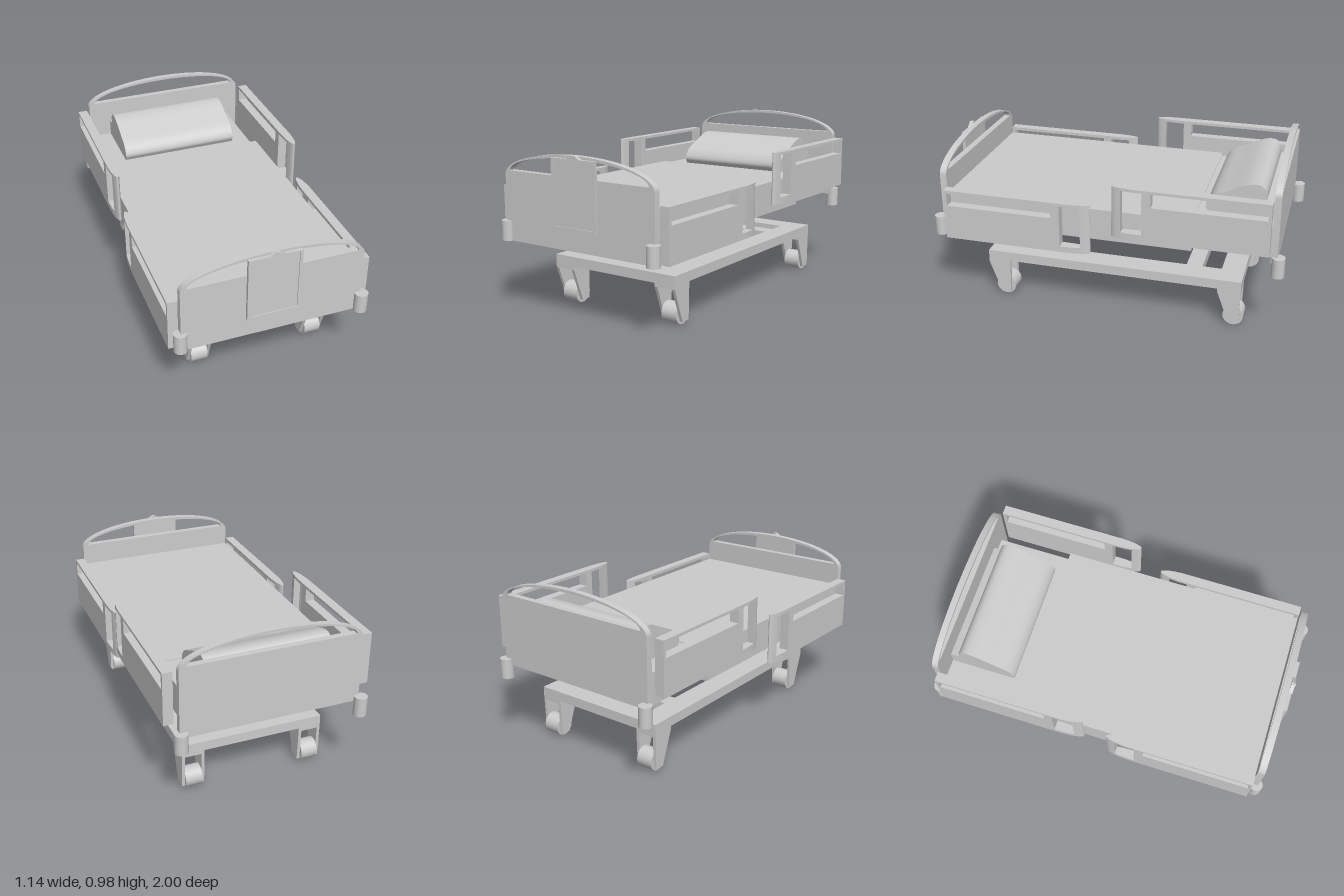
import * as THREE from 'three';
import { toCreasedNormals } from 'three/addons/utils/BufferGeometryUtils.js';

const material = new THREE.MeshStandardMaterial({ color: 0xcccccc });

export function createModel() {
  const model = new THREE.Group();

  const add = (name, geometry, parent = model) => {
    const mesh = new THREE.Mesh(geometry, material);
    mesh.name = name;
    parent.add(mesh);
    return mesh;
  };
  const group = (name) => {
    const g = new THREE.Group();
    g.name = name;
    model.add(g);
    return g;
  };
  // Box given by its limits on each axis
  const box = (name, x0, x1, y0, y1, z0, z1, parent) =>
    add(name, new THREE.BoxGeometry(x1 - x0, y1 - y0, z1 - z0)
      .translate((x0 + x1) / 2, (y0 + y1) / 2, (z0 + z1) / 2), parent);
  const toShape = (points) => new THREE.Shape(points.map(([a, b]) => new THREE.Vector2(a, b)));
  const extrude = (shape, depth) => toCreasedNormals(
    new THREE.ExtrudeGeometry(shape, { depth, bevelEnabled: false, curveSegments: 40 }), 0.5);
  // Side profile in (z, y), extruded across x
  const across = (name, points, x0, x1, parent) =>
    add(name, extrude(toShape(points), x1 - x0).rotateY(-Math.PI / 2).translate(x1, 0, 0), parent);

  // Mattress, head section and deck
  box('mattress', -0.515, 0.472, 0.52, 0.645, -0.485, 0.91);
  box('deck', -0.515, 0.472, 0.465, 0.52, -0.485, 0.91);
  box('headSection', -0.48, 0.435, 0.465, 0.64, -0.91, -0.485);

  // Pillow: rounded wedge, with a low flap against the headboard
  const pillowCurve = new THREE.CatmullRomCurve3([
    [-0.545, 0.64], [-0.53, 0.675], [-0.56, 0.728], [-0.65, 0.775],
    [-0.76, 0.822], [-0.82, 0.822], [-0.85, 0.79], [-0.855, 0.745],
  ].map(([z, y]) => new THREE.Vector3(z, y, 0)));
  const pillowProfile = pillowCurve.getPoints(36).map((p) => [p.x, p.y]);
  across('pillow', [...pillowProfile, [-0.905, 0.735], [-0.905, 0.64]], -0.37, 0.33);

  // End boards with an elliptical top and an arched hand opening
  const endBoard = (name, cx, half, bottom, spring, rise, hole, z0, z1) => {
    const shape = new THREE.Shape();
    shape.moveTo(cx - half, bottom);
    shape.lineTo(cx + half, bottom);
    shape.lineTo(cx + half, spring);
    shape.absellipse(cx, spring, half, rise, 0, Math.PI, false);
    shape.closePath();
    const opening = new THREE.Path();
    opening.moveTo(cx + hole.half, hole.y);
    opening.absellipse(cx, hole.y, hole.half, hole.rise, 0, Math.PI, false);
    opening.closePath();
    shape.holes.push(opening);
    add(name, extrude(shape, z1 - z0).translate(0, 0, z0));
  };
  endBoard('headboard', 0, 0.497, 0.465, 0.84, 0.135,
    { half: 0.458, y: 0.865, rise: 0.095 }, -0.945, -0.91);
  endBoard('footboard', -0.02, 0.495, 0.39, 0.75, 0.135,
    { half: 0.46, y: 0.773, rise: 0.095 }, 0.91, 0.948);

  // Corner bumpers
  for (const [x, z] of [[-0.5, -0.966], [0.49, -0.95], [-0.515, 0.94], [0.475, 0.962]]) {
    add('cornerBumper', new THREE.CylinderGeometry(0.036, 0.036, 0.11, 32).translate(x, 0.445, z));
  }

  // Side rails: plan outline runs straight, then tapers to a rounded tip
  const railHalf = 0.027, taper = 0.15;
  const rail = (name, cx, tip, end, openings, pieces) => {
    const parent = group(name);
    const dir = Math.sign(end - tip);
    const width = (d) => railHalf * (d >= taper ? 1 : Math.sqrt(Math.max(0, 1 - (1 - d / taper) ** 2)));
    // d0 and d1 are distances from the tip
    for (const [part, d0, d1, y0, y1] of pieces) {
      const ds = [d0];
      for (let i = 1; i < 16; i++) {
        const d = taper * (i / 16) ** 2;
        if (d > d0 && d < d1) ds.push(d);
      }
      if (taper > d0 && taper < d1) ds.push(taper);
      ds.push(d1);
      const side = (s) => ds.map((d) => [cx + s * Math.max(width(d), 0.0005), -(tip + dir * d)]);
      const outline = toShape([...side(1), ...side(-1).reverse()]);
      add(part, extrude(outline, y1 - y0).rotateX(-Math.PI / 2).translate(0, y0, 0), parent);
    }
  };
  const railPieces = (b, sill, panelTop, lintel, top) => [
    ['topBar', 0, 0.842, lintel, top],
    ['bottomBar', 0, 0.842, b, sill],
    ['tipPost', 0, 0.053, sill, lintel],
    ['middlePost', 0.168, 0.216, sill, lintel],
    ['panel', 0.216, 0.842, sill, panelTop],
    ['endPost', 0.825, 0.842, panelTop, lintel],
  ];
  for (const side of [-1, 1]) {
    const label = side < 0 ? 'right' : 'left';
    rail(label + 'HeadRail', side * 0.541, -0.065, -0.907, null,
      railPieces(0.535, 0.573, 0.737, 0.814, 0.83));
    rail(label + 'FootRail', -0.02 + side * 0.523, 0.068, 0.91, null,
      railPieces(0.39, 0.425, 0.59, 0.664, 0.682));
  }

  // Chart holder on the footboard: framed plate with a peaked clip
  const chart = group('chartHolder');
  const frame = toShape([[-0.17, 0.5], [0.12, 0.5], [0.12, 0.87], [-0.17, 0.87]]);
  frame.holes.push(new THREE.Path([[-0.152, 0.517], [-0.152, 0.862], [0.104, 0.862], [0.104, 0.517]]
    .map(([x, y]) => new THREE.Vector2(x, y))));
  add('chartFrame', extrude(frame, 0.018).translate(0, 0, 0.948), chart);
  box('chartPlate', -0.152, 0.104, 0.517, 0.862, 0.948, 0.961, chart);
  add('chartClip', extrude(toShape([[-0.067, 0.868], [0.03, 0.868], [-0.01, 0.892], [-0.027, 0.892]]), 0.02)
    .translate(0, 0, 0.95), chart);
  add('clipPin', new THREE.CylinderGeometry(0.007, 0.007, 0.008, 16)
    .rotateX(Math.PI / 2).translate(-0.018, 0.884, 0.971), chart);

  // Lifting column, spine and diagonal struts under the deck
  const sx0 = -0.055, sx1 = 0.015;
  box('column', sx0, sx1, 0.28, 0.465, 0.55, 0.6);
  box('spine', sx0, sx1, 0.425, 0.465, -0.29, 0.55);
  across('longStrut', [[-0.29, 0.425], [-0.27, 0.465], [-0.32, 0.465], [-0.515, 0.278], [-0.435, 0.278]], sx0, sx1);
  across('shortStrut', [[-0.545, 0.468], [-0.578, 0.455], [-0.495, 0.278], [-0.455, 0.278]], sx0, sx1);

  // Base frame
  const bx0 = -0.388, bx1 = 0.42, bw = 0.128;
  box('rightBaseBeam', bx0, bx0 + bw, 0.225, 0.28, -0.757, 0.71);
  box('leftBaseBeam', bx1 - bw, bx1, 0.225, 0.28, -0.757, 0.71);
  box('frontCrossBeam', bx0 + bw, bx1 - bw, 0.225, 0.28, 0.54, 0.71);
  box('rearCrossBeam', bx0 + bw, bx1 - bw, 0.225, 0.28, -0.757, -0.63);
  box('strutCrossBeam', bx0 + bw, bx1 - bw, 0.225, 0.28, -0.52, -0.43);

  // Casters: mounting block, two tapered fork plates and a wide wheel
  for (const x of [bx0, bx1 - bw]) {
    for (const z of [0.71, -0.628]) {
      const caster = group('caster');
      caster.position.set(x, 0, z);
      box('casterBlock', 0, bw, 0.205, 0.225, -0.129, 0, caster);
      const fork = [[0, 0.205], [-0.129, 0.205], [-0.123, 0.02], [-0.068, 0.02]];
      across('forkPlate', fork, 0, 0.017, caster);
      across('forkPlate', fork, bw - 0.017, bw, caster);
      add('wheel', new THREE.CylinderGeometry(0.057, 0.057, bw - 0.034, 32)
        .rotateZ(Math.PI / 2).translate(bw / 2, 0.057, -0.09), caster);
    }
  }
  return model;
}
